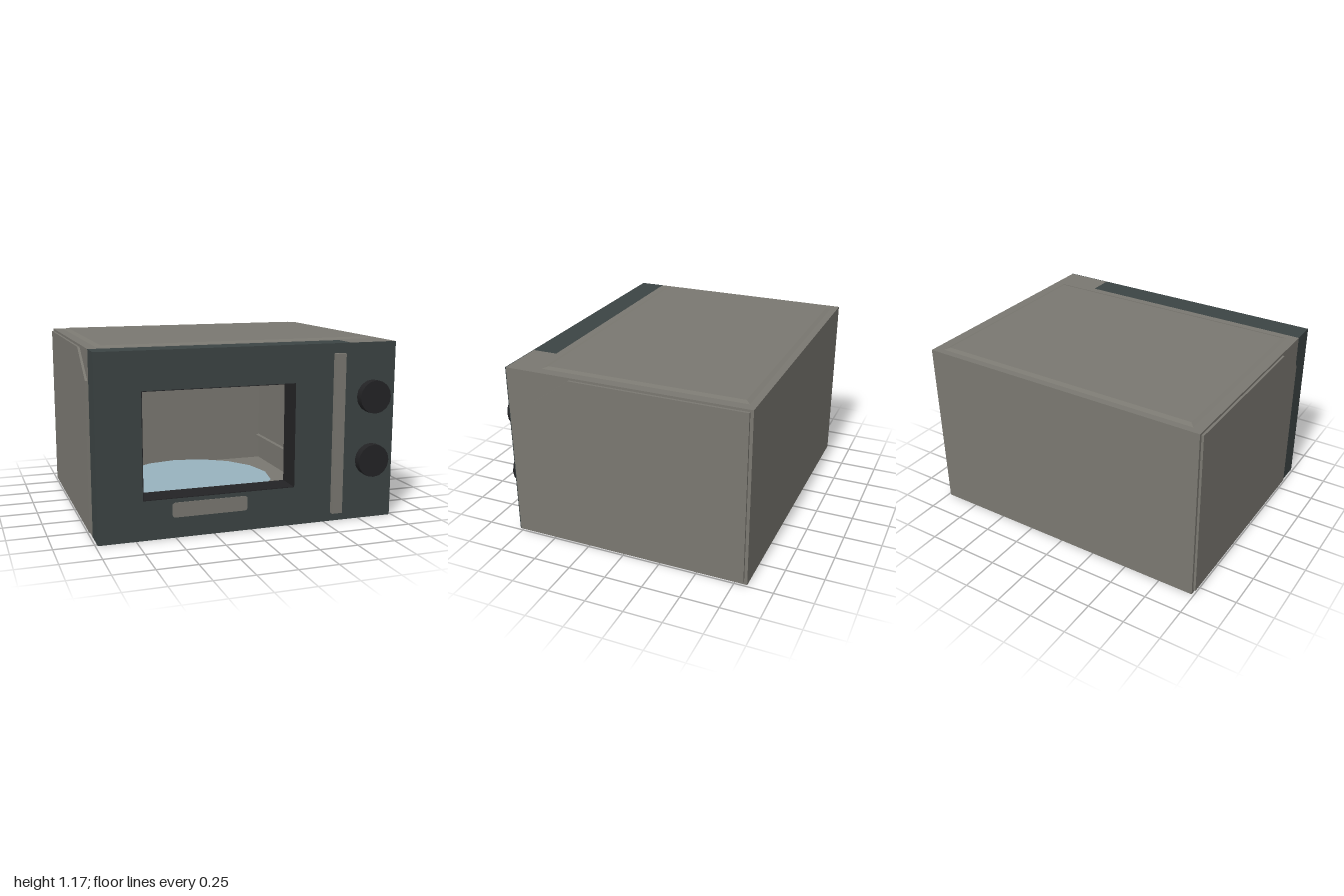
import * as THREE from 'three';

const paint = (name, hex) => {
  const m = new THREE.MeshStandardMaterial({ color: hex });
  m.name = name;
  return m;
};

export function createModel() {
  const grey = paint('warm grey', 0x7a7871);
  const dark = paint('dark slate', 0x3c4444);
  const black = paint('black', 0x232325);
  const blue = paint('pale blue glass', 0x98b2be);
  const model = new THREE.Group();

  const add = (name, geo, mat, x = 0, y = 0, z = 0) => {
    const mesh = new THREE.Mesh(geo, mat);
    mesh.name = name;
    mesh.position.set(x, y, z);
    model.add(mesh);
    return mesh;
  };
  // Box given by its limits on each axis
  const box = (name, mat, [x0, x1], [y0, y1], [z0, z1]) =>
    add(name, new THREE.BoxGeometry(x1 - x0, y1 - y0, z1 - z0), mat,
      (x0 + x1) / 2, (y0 + y1) / 2, (z0 + z1) / 2);
  const poly = (pts, Type = THREE.Shape) => new Type(pts.map(p => new THREE.Vector2(...p)));
  const rect = (x0, x1, y0, y1, Type) => poly([[x0, y0], [x1, y0], [x1, y1], [x0, y1]], Type);
  const extrude = (shape, depth) =>
    new THREE.ExtrudeGeometry(shape, { depth, bevelEnabled: false, curveSegments: 4 });
  // Rectangular ring between two outlines, from z0 to z1
  const ring = (name, mat, outer, inner, z0, z1) => {
    const shape = rect(...outer);
    shape.holes.push(rect(...inner, THREE.Path));
    return add(name, extrude(shape, z1 - z0), mat, 0, 0, z0);
  };

  const W = 0.985, H = 1.165, BACK = -0.83, FRONT = 0.775, SEAM = 0.605, SPLIT = 0.665;

  // Hollow casing
  ring('casing', grey, [-W, W, 0, H], [-0.88, 0.6, 0.1, 1.05], -0.635, SEAM);
  box('backWall', grey, [-W, W], [0, H], [BACK, -0.635]);
  box('controlBlock', grey, [SPLIT, W], [0, H], [SEAM, FRONT - 0.005]);
  box('controlFascia', dark, [SPLIT, W], [0, H], [FRONT - 0.005, FRONT]);

  // Door with a black lined window opening
  const lip = 0.004, win = [-0.7, 0.285, 0.255, 0.92];
  const hole = [win[0] - lip, win[1] + lip, win[2] - lip, win[3] + lip];
  ring('door', dark, [-W, SPLIT, 0, H], hole, SEAM, FRONT);
  ring('windowLining', black, hole, win, SEAM, FRONT);

  // Rounded plate below the window
  const [px, py, pw, ph, r] = [-0.52, 0.13, 0.49, 0.095, 0.02];
  const label = new THREE.Shape();
  label.absarc(px + pw - r, py + r, r, -Math.PI / 2, 0);
  label.absarc(px + pw - r, py + ph - r, r, 0, Math.PI / 2);
  label.absarc(px + r, py + ph - r, r, Math.PI / 2, Math.PI);
  label.absarc(px + r, py + r, r, Math.PI, Math.PI * 1.5);
  add('doorPlate', extrude(label, 0.003), grey, 0, 0, FRONT);

  // Handle bar and its two posts
  box('handleBar', grey, [0.535, 0.605], [0.065, 1.105], [0.8, 0.832]);
  for (const y of [0.14, 0.96])
    box('handlePost', grey, [0.55, 0.59], [y, y + 0.07], [FRONT, 0.8]);

  // Dials
  for (const y of [0.395, 0.815])
    add('dial', new THREE.CylinderGeometry(0.108, 0.108, 0.055, 16), black, 0.825, y, 0.8025)
      .rotation.x = Math.PI / 2;

  // Side panels with a cut upper front corner
  const side = poly([[-0.58, 0.02], [0.81, 0.02], [0.81, 1.15], [-0.33, 1.15], [-0.58, 0.97]]);
  for (const x of [W, -1])
    add('sidePanel', extrude(side, 1 - W), grey, x, 0, 0).rotation.y = Math.PI / 2;

  // Raised top panel with sloped edges
  const top = new THREE.BoxGeometry(1.84, 0.01, 1.34);
  const pos = top.attributes.position;
  for (let i = 0; i < pos.count; i++)
    if (pos.getY(i) > 0) {
      pos.setX(i, pos.getX(i) - Math.sign(pos.getX(i)) * 0.03);
      pos.setZ(i, pos.getZ(i) - Math.sign(pos.getZ(i)) * 0.03);
    }
  top.computeVertexNormals();
  add('topPanel', top, grey, 0, H + 0.005, -0.115);

  // Turntable and rails inside
  add('turntable', new THREE.CylinderGeometry(0.54, 0.5, 0.03, 16), blue, -0.13, 0.13, -0.02);
  add('turntableHub', new THREE.CylinderGeometry(0.1, 0.1, 0.02, 16), grey, -0.13, 0.107, -0.02);
  box('innerRail', grey, [-0.88, -0.85], [0.27, 0.29], [-0.63, 0.6]);
  box('innerRail', grey, [0.57, 0.6], [0.27, 0.29], [-0.63, 0.6]);

  return model;
}
